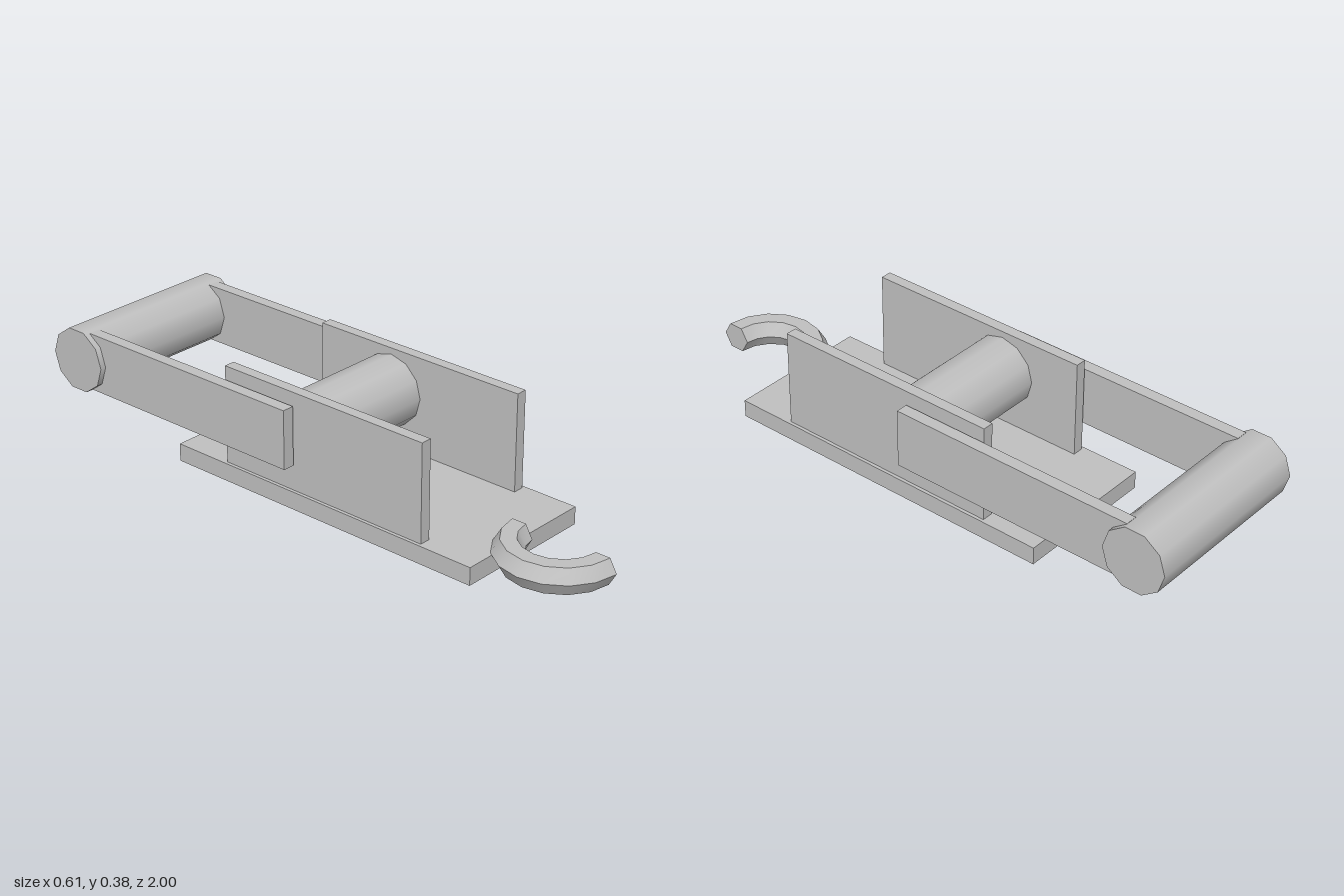
import * as THREE from 'three';
import { toCreasedNormals } from 'three/addons/utils/BufferGeometryUtils.js';

export function createModel() {
  const model = new THREE.Group();
  model.name = 'ratchetStrapBuckle';
  const steel = new THREE.MeshStandardMaterial({ color: 0xc0c0c0 });
  steel.name = 'grey steel';

  const add = (name, geometry, x, y, z, parent = model) => {
    const mesh = new THREE.Mesh(geometry, steel);
    mesh.name = name;
    mesh.position.set(x, y, z);
    parent.add(mesh);
    return mesh;
  };
  // Box given by its lower and upper limits
  const addBox = (name, [x0, x1], [y0, y1], [z0, z1]) =>
    add(name, new THREE.BoxGeometry(x1 - x0, y1 - y0, z1 - z0),
      (x0 + x1) / 2, (y0 + y1) / 2, (z0 + z1) / 2);
  // Cylinder lying along x
  const addBar = (name, radius, length, sides, y, z) =>
    add(name, new THREE.CylinderGeometry(radius, radius, length, sides).rotateZ(Math.PI / 2), 0, y, z);

  // Base plate
  addBox('basePlate', [-0.246, 0.246], [0, 0.059], [-0.5, 0.67]);

  // Upright side plates and handle arms, mirrored
  for (const [side, s] of [['left', 1], ['right', -1]]) {
    const span = (a, b) => (s > 0 ? [a, b] : [-b, -a]);
    addBox(side + 'SidePlate', span(0.198, 0.235), [0.059, 0.384], [-0.302, 0.478]);
    addBox(side + 'HandleArm', span(0.245, 0.285), [0.149, 0.344], [-0.852, -0.013]);
  }

  // Winding drum between the plates and the grip at the back
  addBar('drum', 0.117, 0.4, 12, 0.246, -0.014);
  addBar('grip', 0.1075, 0.61, 10, 0.246, -0.8925);

  // Half-ring hook, open towards +x
  const hook = new THREE.Group();
  hook.name = 'hook';
  hook.position.set(0, 0.059, 0.8);
  const ring = new THREE.TorusGeometry(0.15, 0.05, 6, 8, Math.PI).rotateZ(Math.PI / 2).rotateX(Math.PI / 2);
  add('hookRing', toCreasedNormals(ring, 0.7), 0, 0, 0, hook);
  for (const z of [-0.15, 0.15]) {
    add('hookEnd', new THREE.CircleGeometry(0.05, 6).rotateY(Math.PI / 2), 0, 0, z, hook);
  }
  model.add(hook);

  return model;
}
